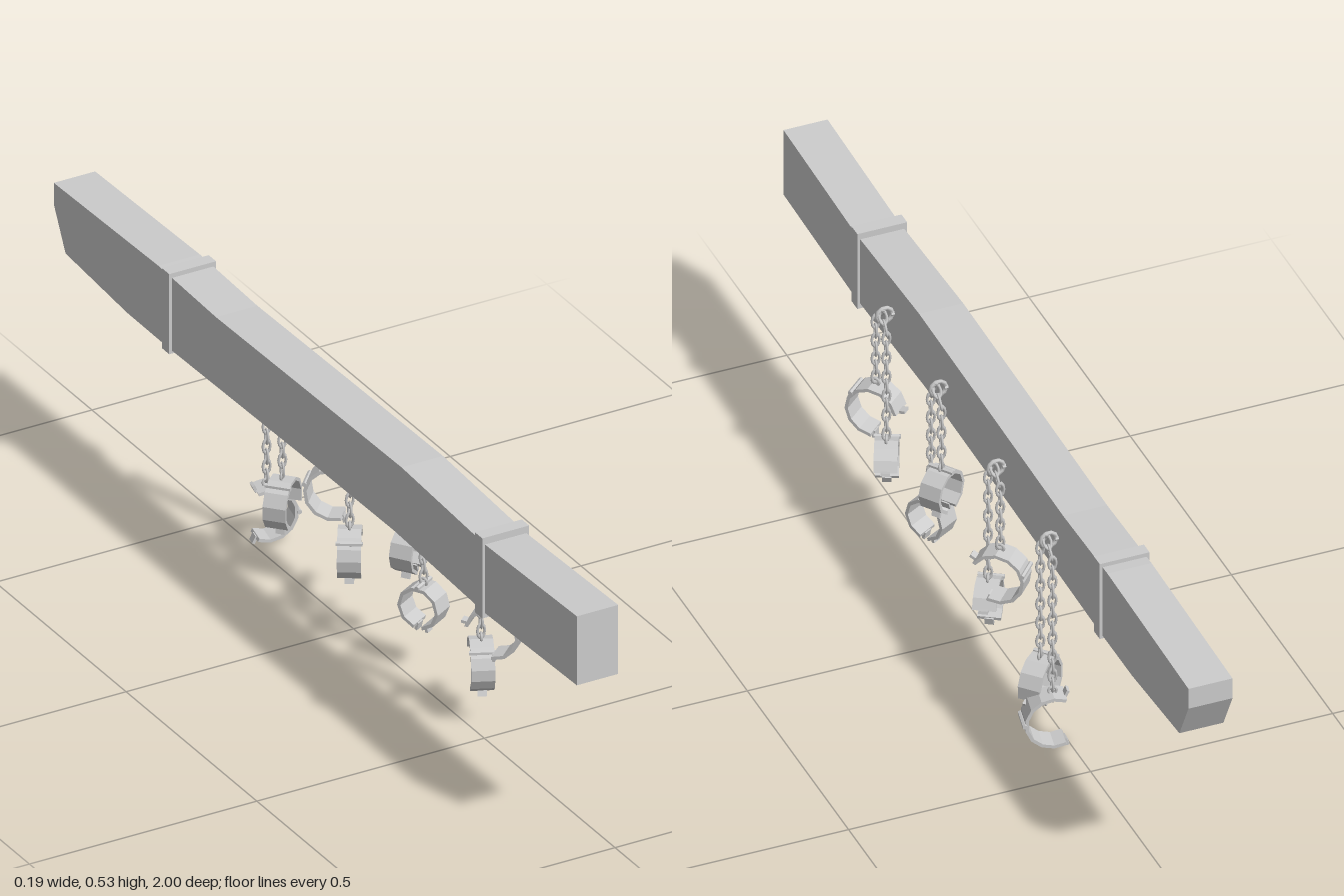
import * as THREE from 'three';

const mat = new THREE.MeshStandardMaterial({ color: 0xcccccc, flatShading: true });
const linkMat = new THREE.MeshStandardMaterial({ color: 0xcccccc });
const rad = THREE.MathUtils.degToRad;

function add(parent, name, geo, x = 0, y = 0, z = 0, m = mat) {
  const mesh = new THREE.Mesh(geo, m);
  mesh.name = name;
  mesh.position.set(x, y, z);
  parent.add(mesh);
  return mesh;
}

// One chain link: a torus stretched along y
const linkGeo = new THREE.TorusGeometry(0.0075, 0.0028, 5, 10).scale(1, 1.85, 1);
const PITCH = 0.0215;

// Links strung along a path, each turned a quarter against the last
function makeChain(points) {
  const chain = new THREE.Group();
  chain.name = 'chain';
  const path = new THREE.CurvePath();
  for (let i = 1; i < points.length; i++) path.add(new THREE.LineCurve3(points[i - 1], points[i]));
  const n = Math.max(2, Math.round(path.getLength() / PITCH));
  const up = new THREE.Vector3(0, 1, 0);
  for (let i = 0; i < n; i++) {
    const t = (i + 0.5) / n;
    const p = path.getPointAt(t);
    const link = add(chain, 'chainLink', linkGeo, p.x, p.y, p.z, linkMat);
    link.quaternion.setFromUnitVectors(up, path.getTangentAt(t).negate());
    link.rotateY(i % 2 ? rad(80) : rad(-10));
  }
  return chain;
}

// Faceted shackle: an open band around local z, with its gap centred on angle `gapAt`
function makeCuff(r, gapAt, gap) {
  const cuff = new THREE.Group();
  cuff.name = 'cuff';
  const width = 0.046, inner = r - 0.007, steps = 9;
  const a0 = rad(gapAt + gap / 2), span = rad(360 - gap);
  const at = (rr, i) => new THREE.Vector2(Math.cos(a0 + span * i / steps) * rr, Math.sin(a0 + span * i / steps) * rr);
  const pts = [];
  for (let i = 0; i <= steps; i++) pts.push(at(r, i));
  for (let i = steps; i >= 0; i--) pts.push(at(inner, i));
  const band = new THREE.ExtrudeGeometry(new THREE.Shape(pts), { depth: width, bevelEnabled: false });
  add(cuff, 'cuffBand', band.translate(0, 0, -width / 2));
  // Lugs at both ends of the band and a hinge pin across its back
  for (const i of [0, steps]) {
    const p = at(r + 0.003, i);
    const lug = add(cuff, 'lockLug', new THREE.BoxGeometry(0.016, 0.006, 0.018), p.x, p.y, 0);
    lug.rotation.z = Math.atan2(p.y, p.x);
  }
  const h = at(r, steps / 2);
  add(cuff, 'hingePin', new THREE.CylinderGeometry(0.005, 0.005, width + 0.006, 6).rotateX(Math.PI / 2), h.x, h.y, 0);
  // Loop that takes the last chain link
  add(cuff, 'cuffLoop', new THREE.TorusGeometry(0.008, 0.003, 5, 8), 0, r + 0.004, 0, linkMat);
  return cuff;
}

export function createModel() {
  const model = new THREE.Group();
  model.name = 'shackleBeam';

  // Hewn beam: side profile in (z, y), extruded across x
  const profile = [
    [1, 0.525], [0.65, 0.514], [0.33, 0.53], [-0.03, 0.525], [-0.38, 0.519], [-0.6, 0.526], [-1, 0.516],
    [-1, 0.47], [-0.955, 0.384], [-0.72, 0.367], [-0.56, 0.366], [0, 0.376], [0.3, 0.379], [0.65, 0.365], [1, 0.375],
  ];
  const shape = new THREE.Shape(profile.map(([z, y]) => new THREE.Vector2(-z, y)));
  const beamGeo = new THREE.ExtrudeGeometry(shape, { depth: 0.091, bevelEnabled: false });
  add(model, 'beam', beamGeo.rotateY(Math.PI / 2), -0.084);

  // Straps around the beam
  for (const [z, y] of [[0.635, 0.442], [-0.562, 0.447]]) {
    add(model, 'strap', new THREE.BoxGeometry(0.103, 0.174, 0.028), -0.0385, y, z);
  }

  // Each set: eye z, then two cuffs as [z, y, radius, axis yaw, gap angle, gap size]
  const sets = [
    [0.455, [0.485, 0.22, 0.055, -42, -40, 100], [0.432, 0.122, 0.053, 25, -50, 130]],
    [0.19, [0.212, 0.145, 0.045, -30, -90, 25], [0.16, 0.24, 0.046, 55, -90, 40]],
    [-0.095, [-0.07, 0.125, 0.052, 32, -45, 120], [-0.13, 0.23, 0.056, -48, 200, 100]],
    [-0.355, [-0.328, 0.11, 0.053, 48, -60, 80], [-0.388, 0.063, 0.058, -78, 0, 130]],
  ];
  for (const [z0, ...cuffs] of sets) {
    const set = new THREE.Group();
    set.name = 'shackleSet';
    // Eye bolt driven into the beam
    add(set, 'eyeRing', new THREE.TorusGeometry(0.016, 0.0045, 6, 10), 0.026, 0.452, z0, linkMat);
    add(set, 'eyeBolt', new THREE.CylinderGeometry(0.006, 0.006, 0.016, 6).rotateZ(Math.PI / 2), 0.006, 0.452, z0);
    for (const [z, y, r, yaw, gapAt, gap] of cuffs) {
      const x = 0.032;
      const cuff = makeCuff(r, gapAt, gap);
      cuff.position.set(x, y, z);
      cuff.rotation.y = rad(90 - yaw);
      set.add(cuff);
      set.add(makeChain([
        new THREE.Vector3(x, 0.462, z0),
        new THREE.Vector3(x, 0.425, z),
        new THREE.Vector3(x, y + r + 0.006, z),
      ]));
    }
    model.add(set);
  }
  return model;
}
